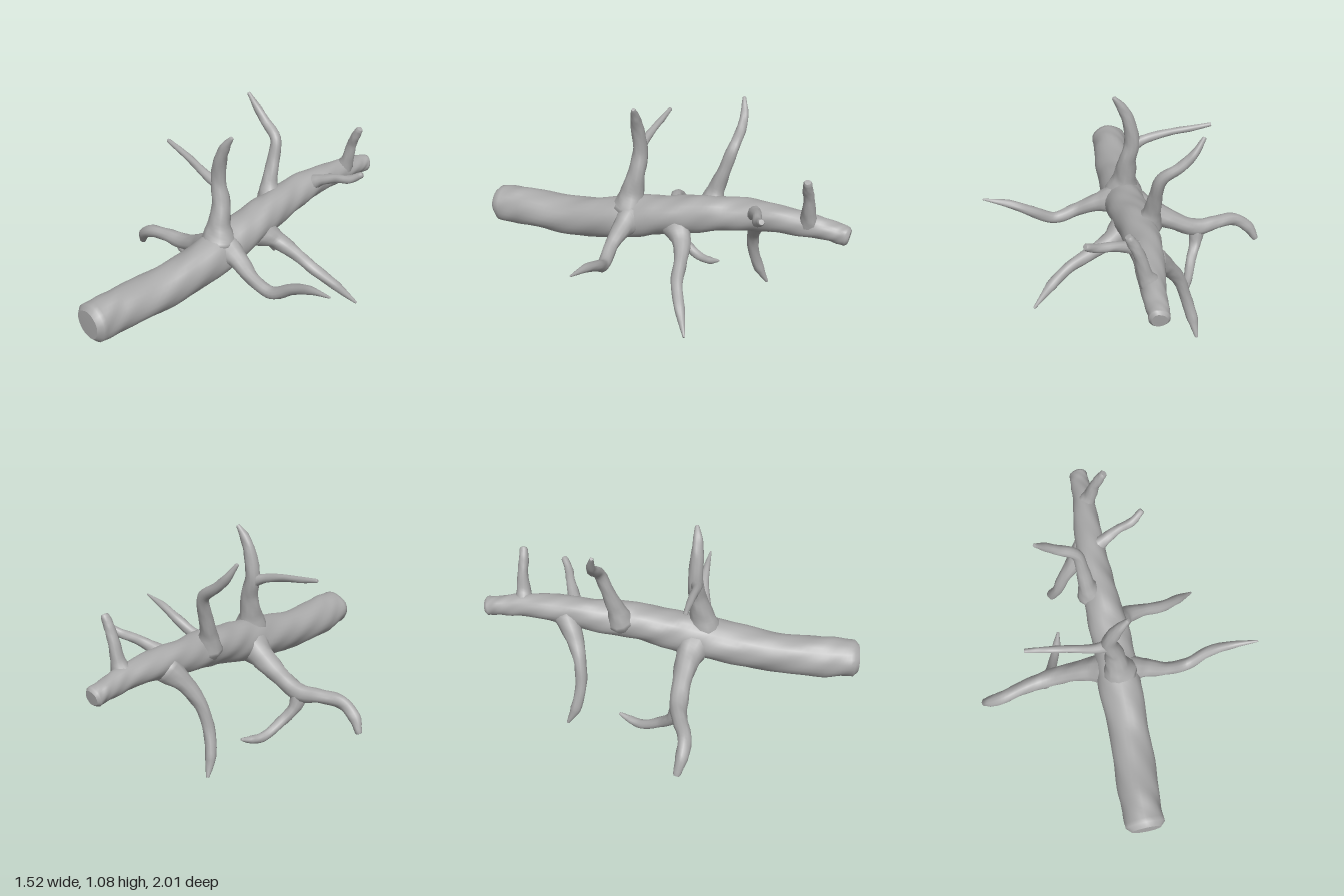
import * as THREE from 'three';

const bark = new THREE.MeshStandardMaterial({ color: 0xaaaaaa });
bark.name = 'greyBark';

// Knobbly tapered limb. Each station is [x, y, z, radius].
function limb(name, stations, { sides = 12, steps = 6, rough = 0.06, cap = 0.5 } = {}) {
  const curve = new THREE.CatmullRomCurve3(stations.map(s => new THREE.Vector3(s[0], s[1], s[2])));
  const spans = stations.length - 1;
  const rows = spans * steps;
  const seed = stations[0][0] * 31 + stations[0][2] * 17;
  const pos = [], index = [];
  const normal = new THREE.Vector3(0.31, 0.2, 0.9);
  const side = new THREE.Vector3();

  const ring = (center, r, phase) => {
    for (let j = 0; j < sides; j++) {
      const a = (j / sides) * Math.PI * 2;
      const bump = 1 + rough * (0.6 * Math.sin(3 * a + phase * 1.3 + seed)
        + 0.5 * Math.sin(2 * a - phase * 2.1) + 0.4 * Math.sin(5 * a + phase * 3.7));
      const p = center.clone()
        .addScaledVector(normal, Math.cos(a) * r * bump)
        .addScaledVector(side, Math.sin(a) * r * bump);
      pos.push(p.x, p.y, p.z);
    }
  };
  const frame = t => {
    const tangent = curve.getTangent(t);
    normal.addScaledVector(tangent, -normal.dot(tangent)).normalize();
    side.crossVectors(tangent, normal);
    return tangent;
  };
  const radius = t => {
    const u = t * spans, i = Math.min(Math.floor(u), spans - 1);
    return THREE.MathUtils.lerp(stations[i][3], stations[i + 1][3], u - i);
  };

  // Rounded start, body, rounded end
  let tan = frame(0);
  const r0 = stations[0][3], r1 = stations[spans][3];
  const start = curve.getPoint(0), end = curve.getPoint(1);
  ring(start.clone().addScaledVector(tan, -r0 * cap), r0 * 0.75, 0);
  for (let i = 0; i <= rows; i++) {
    const t = i / rows;
    tan = frame(t);
    ring(curve.getPoint(t), radius(t), t * spans * 2);
  }
  ring(end.clone().addScaledVector(tan, r1 * cap), r1 * 0.75, spans * 2);

  const count = rows + 3;
  for (let i = 0; i < count - 1; i++) {
    for (let j = 0; j < sides; j++) {
      const a = i * sides + j, b = i * sides + (j + 1) % sides;
      index.push(a, b, a + sides, b, b + sides, a + sides);
    }
  }
  // Flat discs that close both ends
  const close = (first, center, flip) => {
    const base = pos.length / 3;
    pos.push(...pos.slice(first * 3, (first + sides) * 3), center.x, center.y, center.z);
    for (let j = 0; j < sides; j++) {
      const a = base + j, b = base + (j + 1) % sides, c = base + sides;
      index.push(c, flip ? b : a, flip ? a : b);
    }
  };
  close(0, start.addScaledVector(curve.getTangent(0), -r0 * cap * 1.1), true);
  close((count - 1) * sides, end.addScaledVector(tan, r1 * cap * 1.1), false);

  const geo = new THREE.BufferGeometry();
  geo.setAttribute('position', new THREE.Float32BufferAttribute(pos, 3));
  geo.setIndex(index);
  geo.computeVertexNormals();
  const mesh = new THREE.Mesh(geo, bark);
  mesh.name = name;
  return mesh;
}

export function createModel() {
  const group = new THREE.Group();
  group.name = 'fallenLog';

  // Main trunk, thick at the front and rising towards the back
  group.add(limb('trunk', [
    [-0.05, 0.365, 0.975, 0.1], [-0.045, 0.365, 0.8, 0.107], [-0.02, 0.372, 0.5, 0.107],
    [-0.005, 0.43, 0.2, 0.114], [0, 0.475, 0, 0.106], [0, 0.52, -0.2, 0.098],
    [-0.005, 0.55, -0.4, 0.088], [0.01, 0.572, -0.6, 0.075], [0.03, 0.572, -0.8, 0.06],
    [0.035, 0.56, -0.92, 0.052], [0.04, 0.55, -0.985, 0.05],
  ], { sides: 24, steps: 8, rough: 0.045, cap: 0.25 }));

  // Upright branches
  group.add(limb('frontUprightBranch', [
    [0, 0.49, 0.18, 0.095], [-0.01, 0.58, 0.165, 0.063], [-0.02, 0.7, 0.14, 0.046],
    [-0.045, 0.81, 0.13, 0.04], [-0.025, 0.94, 0.135, 0.034], [0.01, 1.02, 0.135, 0.026],
    [0.048, 1.075, 0.13, 0.012],
  ]));
  group.add(limb('frontUprightTwig', [
    [-0.04, 0.79, 0.13, 0.035], [-0.12, 0.82, 0.14, 0.024], [-0.25, 0.855, 0.125, 0.019],
    [-0.36, 0.875, 0.11, 0.016], [-0.455, 0.893, 0.1, 0.011],
  ]));
  group.add(limb('middleUprightBranch', [
    [-0.05, 0.55, -0.26, 0.075], [-0.07, 0.64, -0.28, 0.045], [-0.08, 0.76, -0.32, 0.034],
    [-0.1, 0.87, -0.355, 0.03], [-0.19, 0.94, -0.37, 0.026], [-0.25, 1.0, -0.37, 0.022],
    [-0.3, 1.075, -0.355, 0.01],
  ]));
  group.add(limb('backUprightBranch', [
    [0.035, 0.58, -0.79, 0.055], [0.065, 0.65, -0.79, 0.036], [0.09, 0.75, -0.79, 0.027],
    [0.115, 0.81, -0.785, 0.026], [0.138, 0.855, -0.785, 0.021],
  ]));

  // Left side branches
  group.add(limb('leftShortBranch', [
    [0.02, 0.58, -0.51, 0.05], [0.09, 0.62, -0.53, 0.031], [0.17, 0.65, -0.555, 0.024],
    [0.25, 0.665, -0.575, 0.023], [0.305, 0.7, -0.605, 0.018],
  ]));
  group.add(limb('leftFrontBranch', [
    [0.05, 0.45, 0.16, 0.085], [0.13, 0.435, 0.17, 0.052], [0.25, 0.385, 0.19, 0.036],
    [0.38, 0.352, 0.18, 0.032], [0.5, 0.42, 0.16, 0.029], [0.62, 0.475, 0.17, 0.022],
    [0.755, 0.508, 0.19, 0.005],
  ]));
  group.add(limb('leftLowBranch', [
    [0.04, 0.45, -0.1, 0.08], [0.11, 0.405, -0.15, 0.05], [0.22, 0.355, -0.18, 0.035],
    [0.34, 0.295, -0.2, 0.031], [0.45, 0.22, -0.25, 0.027], [0.548, 0.132, -0.305, 0.007],
  ]));

  // Right side branches
  group.add(limb('rightFrontBranch', [
    [-0.05, 0.42, 0.13, 0.095], [-0.14, 0.385, 0.1, 0.065], [-0.27, 0.32, 0.075, 0.05],
    [-0.4, 0.27, 0.065, 0.047], [-0.52, 0.275, 0.085, 0.037], [-0.63, 0.265, 0.11, 0.035],
    [-0.71, 0.21, 0.1, 0.032], [-0.75, 0.145, 0.08, 0.019],
  ]));
  group.add(limb('rightFrontTwig', [
    [-0.4, 0.25, 0.065, 0.045], [-0.385, 0.18, 0.03, 0.032], [-0.35, 0.12, -0.03, 0.027],
    [-0.31, 0.065, -0.13, 0.025], [-0.28, 0.068, -0.2, 0.021], [-0.26, 0.088, -0.255, 0.008],
  ]));
  group.add(limb('rightBackBranch', [
    [-0.02, 0.54, -0.55, 0.07], [-0.1, 0.455, -0.5, 0.045], [-0.17, 0.35, -0.47, 0.033],
    [-0.21, 0.23, -0.465, 0.03], [-0.245, 0.1, -0.495, 0.029], [-0.26, 0.012, -0.54, 0.009],
  ]));

  return group;
}
